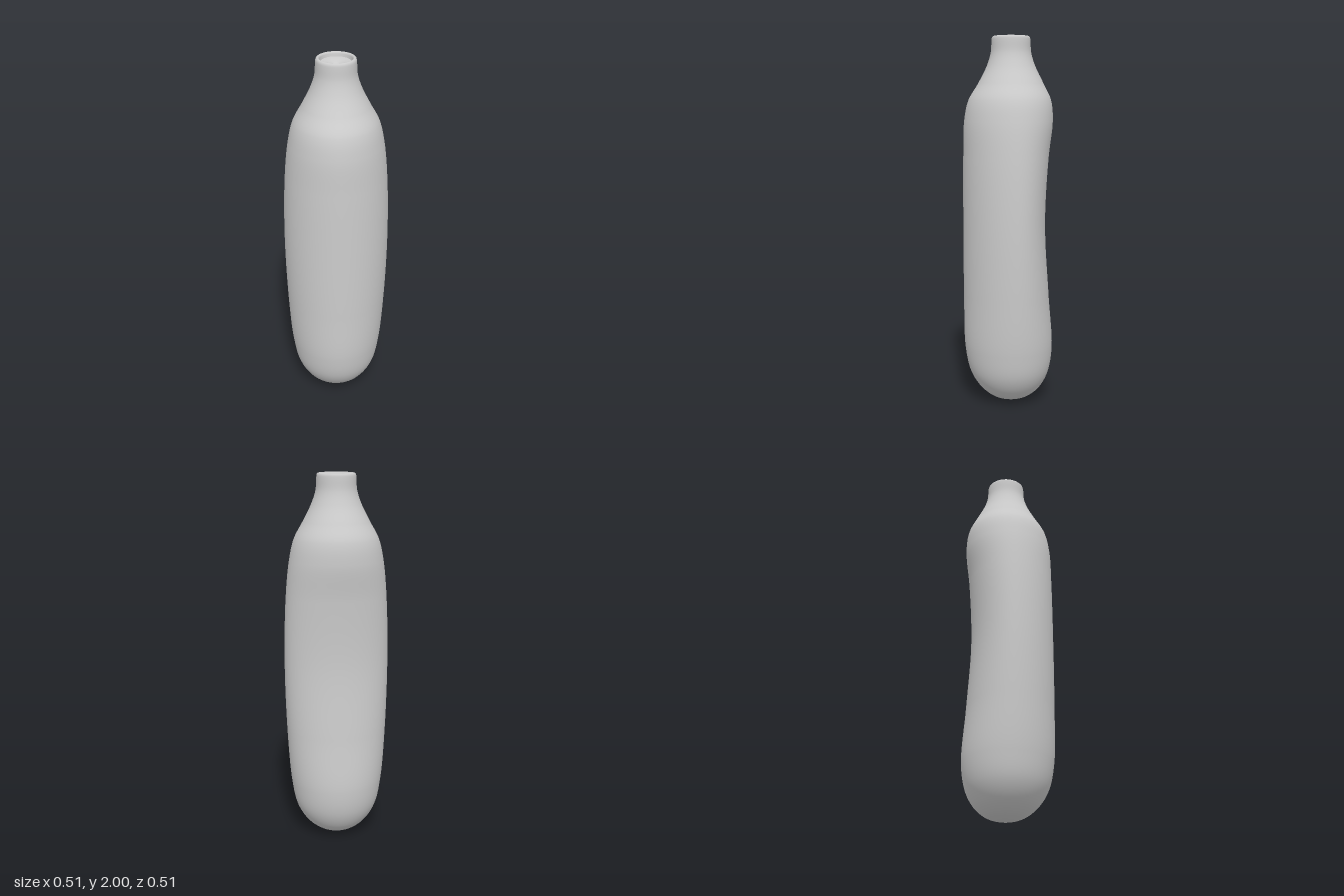
import * as THREE from 'three';
import { ParametricGeometry } from 'three/addons/geometries/ParametricGeometry.js';

const material = new THREE.MeshStandardMaterial({ color: 0xcccccc, roughness: 0.7 });

// Body stations: height, half width, belly depth, back depth (the back is waisted)
const stations = [
  [0, 0.001, 0.001, 0.001],
  [0.006, 0.05, 0.05, 0.05],
  [0.025, 0.105, 0.105, 0.105],
  [0.075, 0.168, 0.168, 0.163],
  [0.16, 0.22, 0.222, 0.207],
  [0.3, 0.25, 0.253, 0.228],
  [0.6, 0.273, 0.26, 0.207],
  [1.0, 0.283, 0.261, 0.184],
  [1.35, 0.272, 0.259, 0.202],
  [1.55, 0.251, 0.253, 0.225],
  [1.66, 0.225, 0.23, 0.216],
  [1.75, 0.177, 0.177, 0.175],
  [1.84, 0.132, 0.131, 0.131],
  [1.91, 0.109, 0.109, 0.109],
  [1.975, 0.104, 0.104, 0.104],
];

// Smooth curves through the stations, evaluated at the same parameter
const widthCurve = new THREE.CatmullRomCurve3(stations.map(([y, w]) => new THREE.Vector3(w, y, 0)));
const depthCurve = new THREE.CatmullRomCurve3(stations.map(([y, , f, b]) => new THREE.Vector3(f, y, b)));

function superPow(c, p) {
  return Math.sign(c) * Math.pow(Math.abs(c), 2 / p);
}

function bodyGeometry() {
  const w = new THREE.Vector3();
  const d = new THREE.Vector3();
  return new ParametricGeometry((s, t, target) => {
    widthCurve.getPoint(t, w);
    depthCurve.getPoint(t, d);
    const angle = -s * Math.PI * 2;
    const sin = Math.sin(angle);
    // the belly side is slightly pointed, fading to round at both ends
    const fullness = THREE.MathUtils.smoothstep(w.x, 0.15, 0.28);
    const p = sin > 0 ? 2 - 0.12 * fullness : 2;
    const x = superPow(Math.cos(angle), p) * w.x;
    const z = superPow(sin, p) * (sin > 0 ? d.x : d.z);
    target.set(x, w.y, z);
  }, 64, 112);
}

// Rounded lip, groove and dished lid with a small centre dimple
function mouthGeometry() {
  const profile = [
    [0.104, 1.972], [0.1035, 1.985], [0.101, 1.994], [0.096, 1.999], [0.091, 2.0],
    [0.086, 1.997], [0.083, 1.99], [0.082, 1.975], [0.08, 1.972], [0.078, 1.976],
    [0.075, 1.979], [0.05, 1.974], [0.025, 1.968], [0.012, 1.963], [0.006, 1.955], [0.0, 1.953],
  ];
  return new THREE.LatheGeometry(profile.map(([r, y]) => new THREE.Vector2(r, y)), 48);
}

export function createModel() {
  const model = new THREE.Group();
  model.name = 'flask';
  for (const [name, geometry] of [['body', bodyGeometry()], ['mouth', mouthGeometry()]]) {
    const mesh = new THREE.Mesh(geometry, material);
    mesh.name = name;
    model.add(mesh);
  }
  // the flask stands turned so its broad side faces the front left corner
  const flask = new THREE.Group();
  flask.name = 'turnedFlask';
  flask.add(...model.children.slice());
  flask.rotation.y = Math.PI / 4;
  flask.position.set(-0.012, 0, -0.003);
  model.add(flask);
  return model;
}
